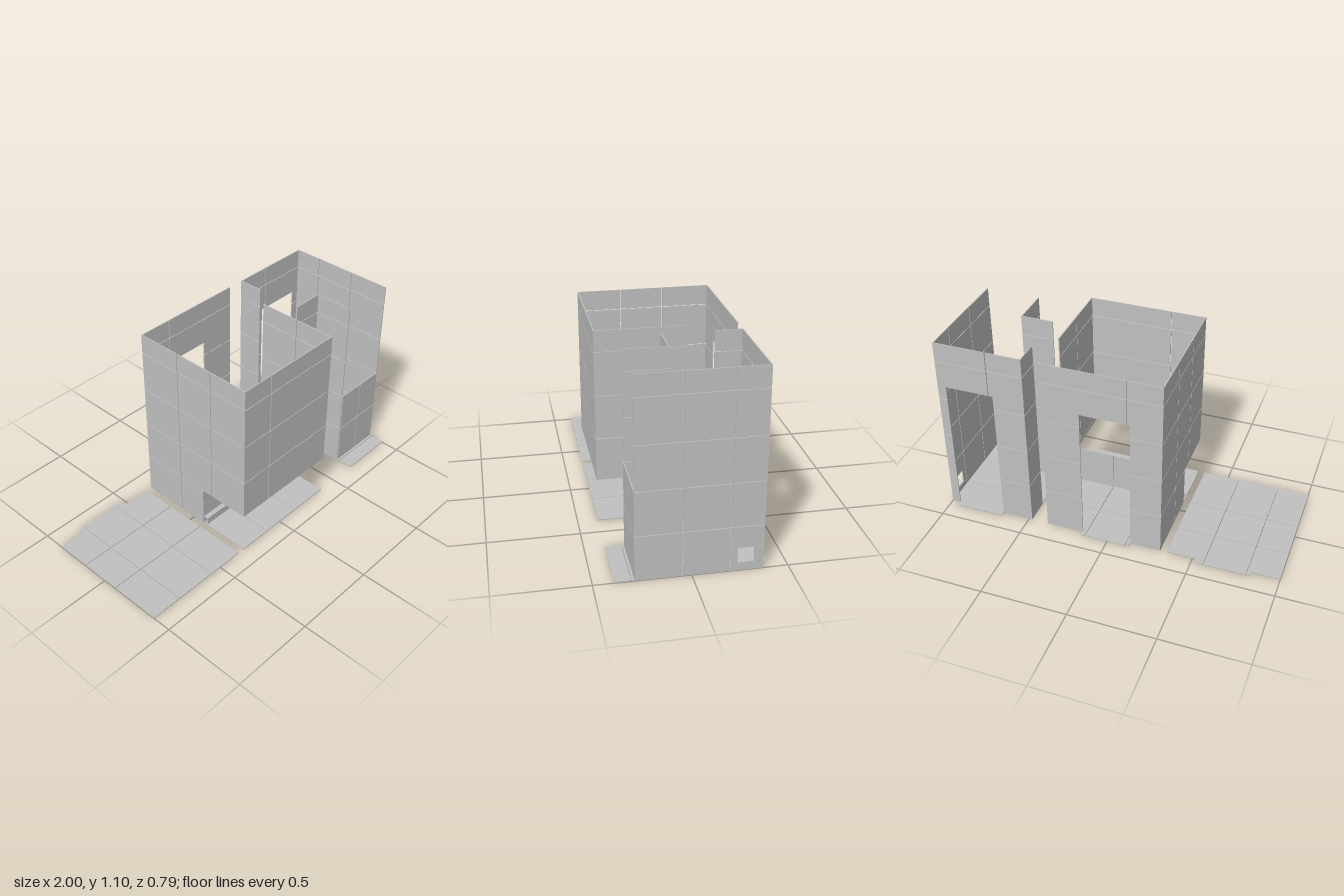
import * as THREE from 'three';
import { mergeGeometries } from 'three/addons/utils/BufferGeometryUtils.js';

const T = 0.006;    // panel thickness
const GAP = 0.004;  // joint between tiles
const Y0 = 0.006;   // walls stand on the floor slabs
const TOP = 1.1;
const ROWS = [0.25, 0.495, 0.74, 0.985];

// Tiled panel lying across `axis`, starting at `pos`.
// rect and openings are [u0, u1, v0, v1]; seams are tile joints along u and v.
// u, v are (z, y) for axis x, (x, z) for axis y and (x, y) for axis z.
function panel(group, material, name, axis, pos, rect, openings = [], uSeams = [], vSeams = ROWS) {
  const cuts = (a, b, seams, edges) =>
    [...new Set([a, b, ...[...seams, ...edges].filter((c) => c > a + 0.01 && c < b - 0.01)])].sort((p, q) => p - q);
  const us = cuts(rect[0], rect[1], uSeams, openings.flatMap((o) => [o[0], o[1]]));
  const vs = cuts(rect[2], rect[3], vSeams, openings.flatMap((o) => [o[2], o[3]]));
  const shrink = (c, seams) => (seams.includes(c) ? GAP / 2 : 0);
  const tiles = [];
  for (let i = 0; i < us.length - 1; i++) {
    for (let j = 0; j < vs.length - 1; j++) {
      const mu = (us[i] + us[i + 1]) / 2, mv = (vs[j] + vs[j + 1]) / 2;
      if (openings.some((o) => mu > o[0] && mu < o[1] && mv > o[2] && mv < o[3])) continue;
      const u0 = us[i] + shrink(us[i], uSeams), u1 = us[i + 1] - shrink(us[i + 1], uSeams);
      const v0 = vs[j] + shrink(vs[j], vSeams), v1 = vs[j + 1] - shrink(vs[j + 1], vSeams);
      const du = u1 - u0, dv = v1 - v0, cu = (u0 + u1) / 2, cv = (v0 + v1) / 2, c = pos + T / 2;
      if (du < 0.001 || dv < 0.001) continue;
      if (axis === 'x') tiles.push(new THREE.BoxGeometry(T, dv, du).translate(c, cv, cu));
      else if (axis === 'y') tiles.push(new THREE.BoxGeometry(du, T, dv).translate(cu, c, cv));
      else tiles.push(new THREE.BoxGeometry(du, dv, T).translate(cu, cv, c));
    }
  }
  const mesh = new THREE.Mesh(mergeGeometries(tiles), material);
  mesh.name = name;
  group.add(mesh);
}

export function createModel() {
  const model = new THREE.Group();
  model.name = 'tiledRooms';
  const tile = new THREE.MeshStandardMaterial({ color: 0xc0c0c0 });
  tile.name = 'pale grey tile';
  const room = (name) => {
    const g = new THREE.Group();
    g.name = name;
    model.add(g);
    return (...args) => panel(g, tile, ...args);
  };

  // Loose ceiling slab lying flat, with a doorway tab at the back
  const slab = room('flatSlab');
  slab('slab', 'y', 0, [-1, -0.35, -0.4, 0.39],
    [[-1, -0.84, -0.4, -0.37], [-0.52, -0.35, -0.4, -0.37]], [-0.815, -0.57], [-0.16, 0.085]);

  // Middle room: overhanging front, recessed riser and a toe step
  const mid = room('middleRoom');
  mid('floor', 'y', 0, [-0.31, 0.38, -0.4, 0.39],
    [[-0.31, -0.13, -0.4, -0.37], [0.16, 0.38, -0.4, -0.37]], [-0.11, 0.135], [-0.16, 0.085]);
  mid('backWall', 'z', -0.37, [-0.31, 0.38, Y0, TOP], [[-0.13, 0.16, Y0, 0.825]], [-0.11]);
  mid('frontWall', 'z', 0.39 - T, [-0.31, 0.38, 0.25, TOP], [], [-0.11]);
  const recess = [[0.07, 0.39, Y0, 0.25]];
  mid('rightWall', 'x', -0.31, [-0.37 + T, 0.39 - T, Y0, TOP], recess, [-0.1, 0.145]);
  mid('leftWall', 'x', 0.38 - T, [-0.1, 0.39 - T, Y0, TOP], recess, [0.145]);
  mid('riser', 'z', 0.07, [-0.31, 0.38, Y0, 0.24], [], [0.135], []);
  mid('toeStepFront', 'z', 0.105 - T, [-0.305, 0.38, Y0, 0.05], [], [-0.11], []);
  mid('toeStepTop', 'y', 0.05 - T, [-0.305, 0.38, 0.07 + T, 0.105 - T], [], [-0.11], []);

  // Side room: L-shaped floor, low front panel and a small vent opening
  const side = room('sideRoom');
  side('floor', 'y', 0, [0.48, 1, -0.4, 0.39],
    [[0.48, 0.66, -0.4, -0.37], [0.95, 1, -0.4, -0.37], [0.48, 0.665, 0.06, 0.39]], [], [-0.185, 0.305]);
  side('backWall', 'z', -0.37, [0.48, 1, Y0, TOP], [[0.665, 0.95, Y0, 0.825]], [0.69]);
  side('leftWall', 'x', 1 - T, [-0.37 + T, 0.29, Y0, TOP], [[-0.32, -0.235, 0.045, 0.13]], [-0.2, 0.045]);
  side('lowFrontPanel', 'z', 0.29 - T, [0.67, 1 - T, Y0, 0.495], [], [0.835]);
  side('nicheSideWall', 'x', 0.665, [0.06, 0.29 - T, Y0, TOP]);
  side('nicheBackWall', 'z', 0.06 - T, [0.48, 0.671, Y0, TOP]);
  side('rightWallStub', 'x', 0.48, [-0.37 + T, -0.22, Y0, TOP]);

  return model;
}
